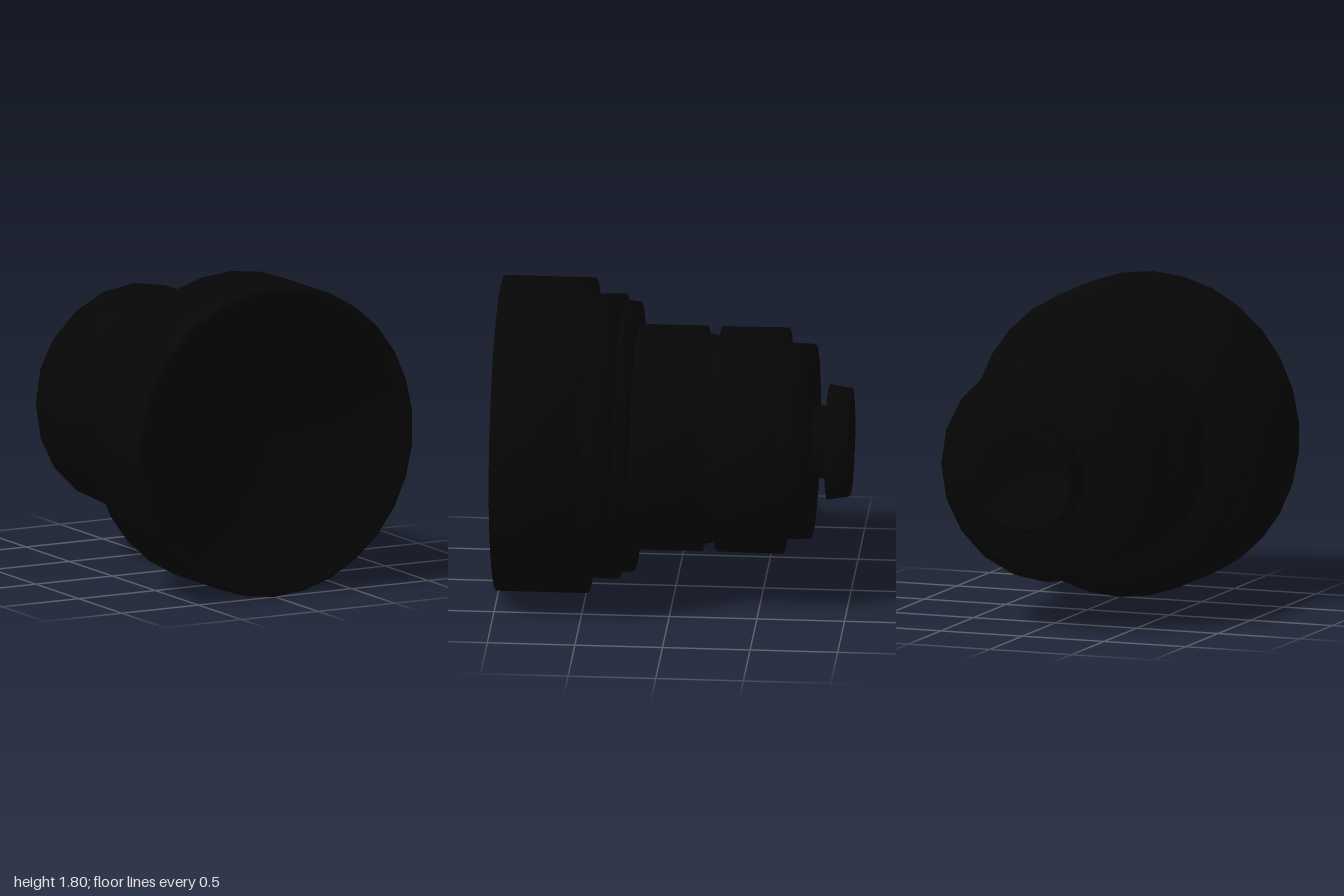
import * as THREE from 'three';

const black = new THREE.MeshStandardMaterial({ color: 0x060606 });
black.name = 'matte black';
black.side = THREE.DoubleSide;

// Turned part along z; profile is [radius, z] pairs running from back to front on the outside
function turned(name, profile, sides) {
  const points = profile.map(([r, z]) => new THREE.Vector2(r, z));
  const geometry = new THREE.LatheGeometry(points, sides);
  geometry.rotateX(Math.PI / 2);
  const mesh = new THREE.Mesh(geometry, black);
  mesh.name = name;
  mesh.position.y = 0.9;
  return mesh;
}

export function createModel() {
  const group = new THREE.Group();
  group.name = 'steppedBarrel';

  // Wide front hood with a shallow dished face
  group.add(turned('frontHood', [
    [0.6, 0.48], [0.9, 0.48], [0.9, 1], [0.86, 1], [0.83, 0.96], [0, 0.93],
  ], 30));

  // Two stepped collars behind the hood
  group.add(turned('outerCollar', [[0.6, 0.305], [0.815, 0.305], [0.81, 0.48]], 28));
  group.add(turned('innerCollar', [[0.6, 0.22], [0.77, 0.22], [0.78, 0.305]], 28));

  // Main barrel, groove and rear grip
  group.add(turned('barrel', [[0.5, -0.165], [0.645, -0.165], [0.645, 0.22]], 24));
  group.add(turned('groove', [[0.59, -0.25], [0.605, -0.165]], 24));
  group.add(turned('rearGrip', [[0.5, -0.63], [0.645, -0.63], [0.642, -0.25], [0.55, -0.25]], 20));
  group.add(turned('backPlate', [[0, -0.785], [0.555, -0.785], [0.56, -0.63]], 20));

  // Neck and flared end knob with a shallow dish
  group.add(turned('neck', [[0.21, -0.87], [0.21, -0.785]], 14));
  group.add(turned('endKnob', [
    [0, -0.95], [0.29, -1], [0.31, -1], [0.33, -0.87], [0.18, -0.87],
  ], 14));

  return group;
}
